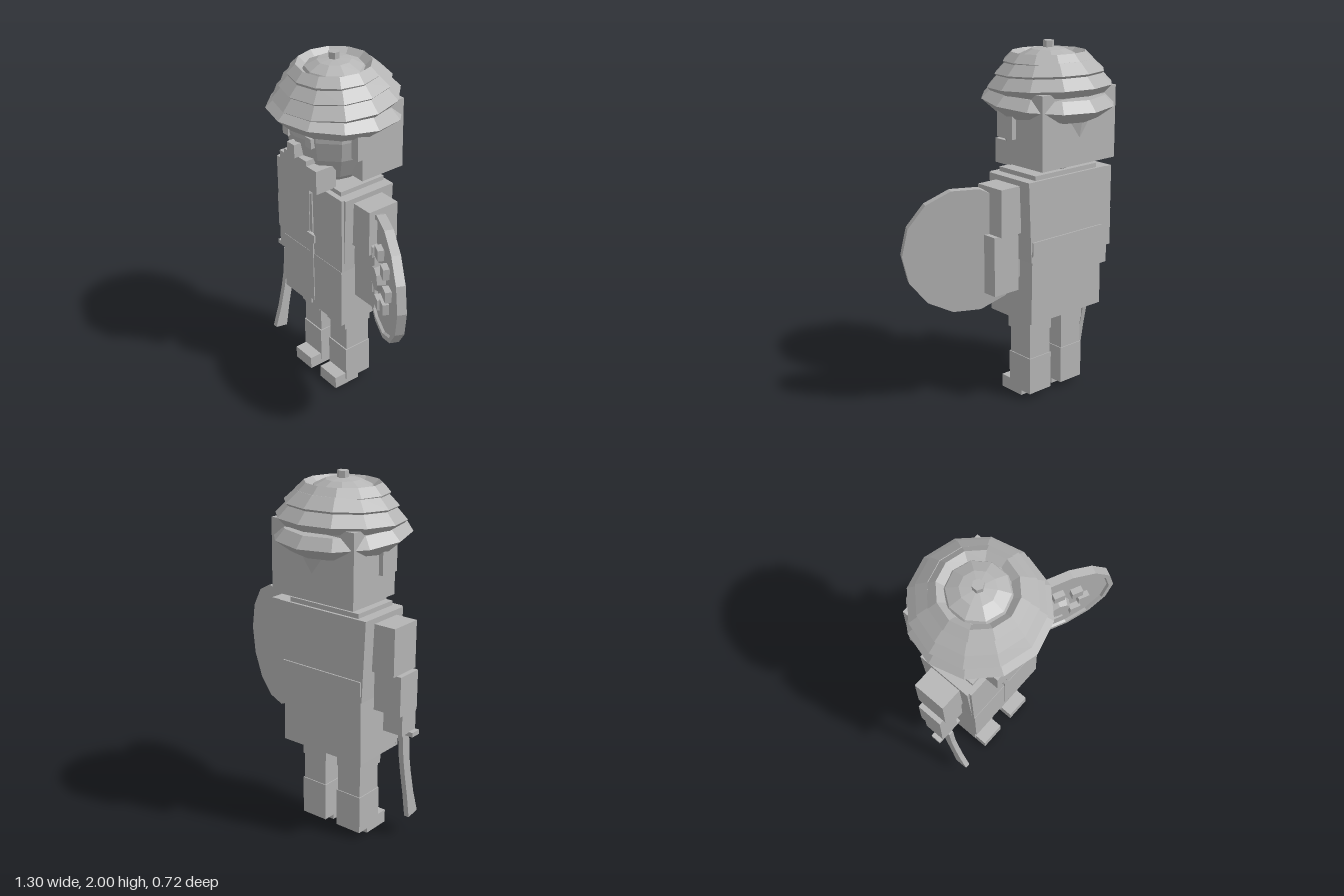
import * as THREE from 'three';

const CX = -0.185; // body centre line

export function createModel() {
  const root = new THREE.Group();
  const grey = new THREE.MeshStandardMaterial({ color: 0xb4b4b4, flatShading: true });
  grey.name = 'plainGrey';

  function add(name, geo, parent = root) {
    const m = new THREE.Mesh(geo, grey);
    m.name = name;
    parent.add(m);
    return m;
  }
  // box from its limits; taper scales the top in x
  function box(name, x0, x1, y0, y1, z0, z1, taper = 1, parent = root) {
    const g = new THREE.BoxGeometry(x1 - x0, y1 - y0, z1 - z0);
    const p = g.attributes.position;
    for (let i = 0; i < p.count; i++) if (p.getY(i) > 0) p.setX(i, p.getX(i) * taper);
    g.computeVertexNormals();
    const m = add(name, g, parent);
    m.position.set((x0 + x1) / 2, (y0 + y1) / 2, (z0 + z1) / 2);
    return m;
  }
  function lathe(name, pts, sides, parent = root) {
    return add(name, new THREE.LatheGeometry(pts.map(([r, y]) => new THREE.Vector2(r, y)), sides), parent);
  }

  // legs, boots and feet
  for (const [side, c] of [['right', -0.305], ['left', -0.067]]) {
    box(side + 'Cuff', c - 0.08, c + 0.08, 0.4, 0.5, -0.08, 0.1);
    box(side + 'Leg', c - 0.075, c + 0.075, 0.25, 0.4, -0.075, 0.085);
    box(side + 'Boot', c - 0.08, c + 0.08, 0.035, 0.25, -0.08, 0.092);
    box(side + 'Foot', c - 0.073, c + 0.073, 0, 0.075, 0, 0.165);
  }

  // coat: core, front panels with a centre groove, skirt
  box('coat', -0.45, 0.08, 0.855, 1.3, -0.165, 0.155, 1.07);
  box('coatFrontRight', -0.45, -0.205, 0.855, 1.3, 0.15, 0.17, 1.03);
  box('coatFrontLeft', -0.165, 0.08, 0.855, 1.3, 0.15, 0.17, 1.03);
  box('skirt', -0.447, 0.077, 0.5, 0.855, -0.162, 0.16, 0.98);
  box('skirtFrontRight', -0.447, -0.203, 0.5, 0.855, 0.15, 0.172);
  box('skirtFrontLeft', -0.167, 0.077, 0.5, 0.855, 0.15, 0.172);
  box('coatPlacket', -0.195, -0.175, 0.99, 1.3, 0.15, 0.172);
  box('sash', -0.2, -0.17, 0.54, 0.95, 0.15, 0.175);
  box('knot', -0.217, -0.153, 0.93, 0.98, 0.16, 0.18);
  box('backBelt', -0.445, 0.075, 0.89, 0.97, -0.173, -0.16);
  box('collar', -0.41, 0.04, 1.3, 1.325, -0.15, 0.14);
  add('neck', new THREE.CylinderGeometry(0.1, 0.1, 0.1, 10)).position.set(CX, 1.32, 0);

  // arms
  for (const [side, s] of [['right', -1], ['left', 1]]) {
    const span = (a, b) => [CX + s * a, CX + s * b].sort((p, q) => p - q);
    box(side + 'UpperArm', ...span(0.26, 0.409), 1.01, 1.27, -0.09, 0.1);
    box(side + 'Forearm', ...span(0.27, 0.437), s < 0 ? 0.79 : 0.68, 1.01, -0.065, 0.085);
  }
  box('rightHand', -0.62, -0.5, 0.675, 0.79, -0.04, 0.08);

  // sword: guard and curved blade
  box('swordGuard', -0.645, -0.475, 0.655, 0.68, 0.02, 0.08);
  const blade = new THREE.Shape();
  const front = [[0.09, 0.66], [0.1, 0.5], [0.118, 0.4], [0.148, 0.27], [0.19, 0.135]];
  const back = [[0.113, 0.12], [0.09, 0.26], [0.062, 0.4], [0.045, 0.5], [0.03, 0.66]];
  blade.setFromPoints([...front, ...back].map(([z, y]) => new THREE.Vector2(-z, y)));
  const bladeMesh = add('swordBlade', new THREE.ExtrudeGeometry(blade, { depth: 0.03, bevelEnabled: false }));
  bladeMesh.rotation.y = Math.PI / 2;
  bladeMesh.position.x = -0.576;

  // head
  lathe('head', [[0, 1.32], [0.12, 1.32], [0.18, 1.37], [0.24, 1.49], [0.262, 1.6], [0.26, 1.7], [0, 1.72]], 12).position.x = CX;
  box('hoodBack', -0.45, 0.08, 1.37, 1.765, -0.245, 0.03);
  for (const s of [-1, 1]) {
    const ex = CX + s * 0.265;
    box(s < 0 ? 'rightEar' : 'leftEar', ex - 0.025, ex + 0.025, 1.51, 1.66, -0.04, 0.08);
    const ey = CX + s * 0.098;
    box(s < 0 ? 'rightEye' : 'leftEye', ey - 0.024, ey + 0.024, 1.57, 1.625, 0.2, 0.25);
  }
  box('nose', -0.216, -0.154, 1.495, 1.57, 0.2, 0.29);
  box('moustache', -0.28, -0.09, 1.465, 1.495, 0.18, 0.265);
  box('beard', -0.343, -0.025, 1.32, 1.455, 0.12, 0.25);
  box('beardTip', -0.275, -0.092, 1.295, 1.33, 0.175, 0.248);

  // turban: tilted twelve-sided wraps
  const turban = new THREE.Group();
  turban.name = 'turban';
  turban.position.x = CX;
  root.add(turban);
  const wraps = [
    [1.69, -0.07, 0, [[0, -0.06], [0.28, -0.07], [0.363, 0], [0.31, 0.055], [0, 0.07]]],
    [1.77, 0.045, -0.012, [[0, -0.04], [0.3, -0.04], [0.34, 0], [0.275, 0.07], [0, 0.07]]],
    [1.84, 0.05, -0.01, [[0, -0.03], [0.265, -0.03], [0.297, 0], [0.235, 0.06], [0, 0.06]]],
    [1.9, 0.02, 0, [[0, -0.03], [0.23, -0.03], [0.245, 0], [0.2, 0.045], [0.16, 0.01], [0, 0.01]]],
  ];
  wraps.forEach(([y, tilt, z, pts], i) => {
    const m = lathe('turbanWrap' + (i + 1), pts, 12, turban);
    m.position.set(0, y, z);
    m.rotation.x = tilt;
  });
  lathe('turbanCrown', [[0.175, 1.89], [0.155, 1.925], [0.09, 1.957], [0, 1.968]], 10, turban);
  add('turbanKnob', new THREE.CylinderGeometry(0.03, 0.03, 0.06, 6), turban).position.y = 1.97;

  // shield: rimmed disc with boss and ring of studs, facing local +z
  const shield = new THREE.Group();
  shield.name = 'shield';
  shield.position.set(0.33, 0.925, 0.085);
  shield.rotation.y = -0.44;
  root.add(shield);
  const disc = lathe('shieldDisc', [[0, -0.025], [0.345, -0.025], [0.345, 0.025], [0.318, 0.025], [0.312, 0.01], [0, 0.01]], 14, shield);
  disc.geometry.rotateY(Math.PI / 14);
  disc.rotation.x = Math.PI / 2;
  const boss = add('shieldBoss', new THREE.CylinderGeometry(0.065, 0.08, 0.05, 8), shield);
  boss.rotation.x = Math.PI / 2;
  boss.position.z = 0.03;
  for (let i = 0; i < 8; i++) {
    const a = (i * Math.PI) / 4;
    const x = 0.155 * Math.cos(a), y = 0.155 * Math.sin(a);
    box('shieldStud', x - 0.032, x + 0.032, y - 0.032, y + 0.032, 0, 0.045, 1, shield);
  }

  // shift to exact centre in x and z
  const b = new THREE.Box3().setFromObject(root, true);
  const c = b.getCenter(new THREE.Vector3());
  for (const child of root.children) child.position.add(new THREE.Vector3(-c.x, -b.min.y, -c.z));
  return root;
}
